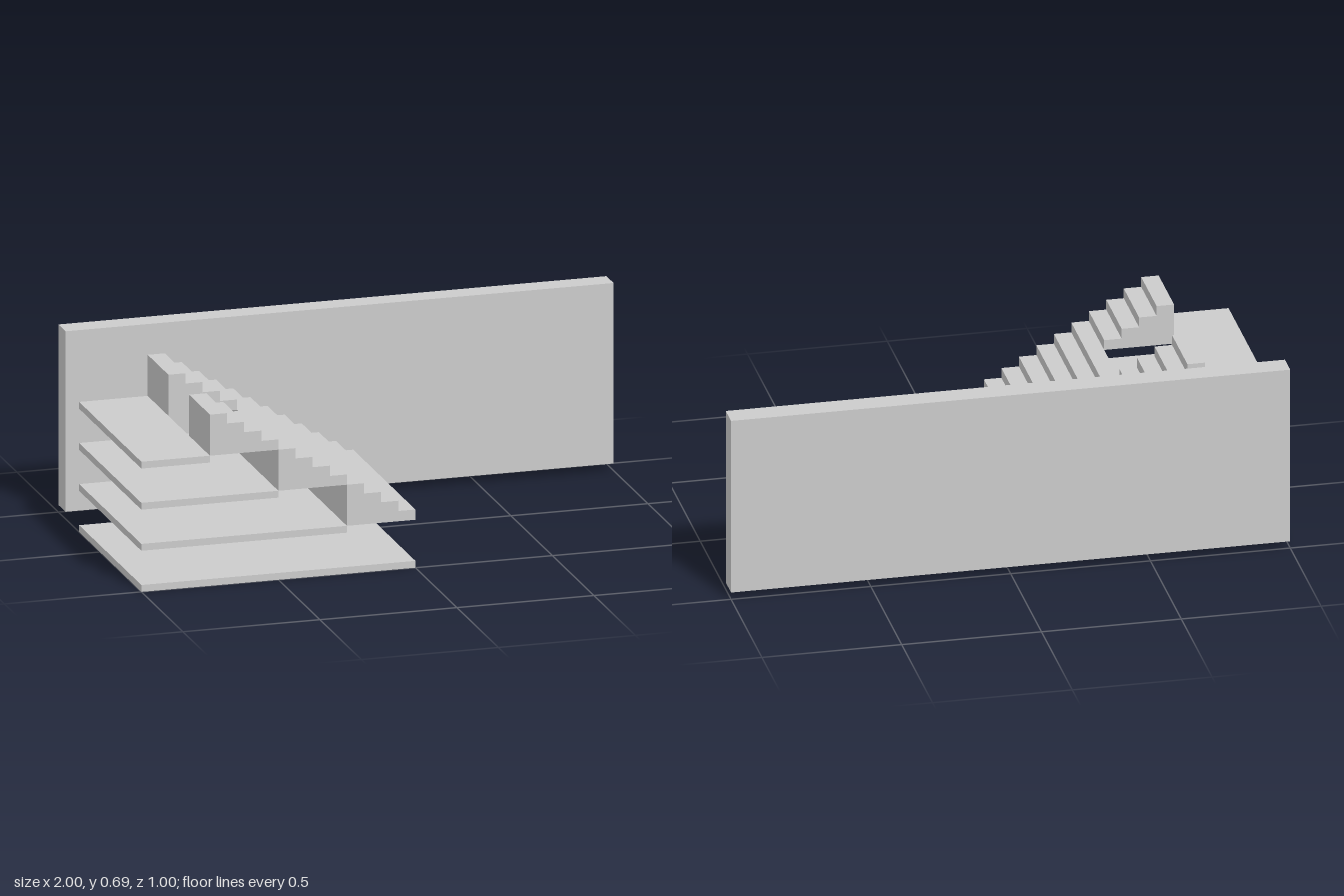
import * as THREE from 'three';
import { mergeGeometries } from 'three/addons/utils/BufferGeometryUtils.js';

const UNIT = 0.25;      // width and depth of one stair block
const STEPS = 4;        // steps per block
const RISE = 0.15;      // height of one storey
const SLAB = 0.025;     // floor thickness

// Hollow stair block, open below: climbs from x = 0 towards -x
function stairGeometry() {
  const run = UNIT / STEPS, rise = RISE / STEPS, parts = [];
  const profile = new THREE.Shape().moveTo(0, 0);
  for (let i = 0; i < STEPS; i++) {
    profile.lineTo(-i * run, (i + 1) * rise);
    profile.lineTo(-(i + 1) * run, (i + 1) * rise);
    // riser and tread
    parts.push(new THREE.PlaneGeometry(UNIT, rise).rotateY(Math.PI / 2)
      .translate(-i * run, (i + 0.5) * rise, 0));
    parts.push(new THREE.PlaneGeometry(run, UNIT).rotateX(-Math.PI / 2)
      .translate(-(i + 0.5) * run, (i + 1) * rise, 0));
  }
  profile.lineTo(-UNIT, 0);
  // side walls and back wall
  parts.push(new THREE.ShapeGeometry(profile).translate(0, 0, UNIT / 2));
  parts.push(new THREE.ShapeGeometry(profile.clone()).scale(-1, 1, 1).rotateY(Math.PI)
    .translate(0, 0, -UNIT / 2));
  parts.push(new THREE.PlaneGeometry(UNIT, RISE).rotateY(-Math.PI / 2)
    .translate(-UNIT, RISE / 2, 0));
  return mergeGeometries(parts);
}

export function createModel() {
  const model = new THREE.Group();
  const grey = new THREE.MeshStandardMaterial({ color: 0xcccccc });
  const thin = new THREE.MeshStandardMaterial({ color: 0xcccccc, side: THREE.DoubleSide });

  const box = (name, x0, x1, y0, y1, z0, z1) => {
    const mesh = new THREE.Mesh(new THREE.BoxGeometry(x1 - x0, y1 - y0, z1 - z0), grey);
    mesh.position.set((x0 + x1) / 2, (y0 + y1) / 2, (z0 + z1) / 2);
    mesh.name = name;
    model.add(mesh);
  };

  // Floors, each one block shorter than the one below
  for (let level = 0; level < 4; level++) {
    const y = level * RISE;
    box('floor' + level, -1, -level * UNIT, y, y + SLAB, -0.25, 0.5);
  }

  // Stair blocks, three abreast, with a stairwell gap in the top flight
  const geometry = stairGeometry();
  for (let level = 1; level < 4; level++) {
    const flight = new THREE.Group();
    flight.name = 'stairFlight' + level;
    for (let row = 0; row < 3; row++) {
      if (level === 3 && row === 1) continue;
      const block = new THREE.Mesh(geometry, thin);
      block.name = 'stairBlock';
      block.position.set(-(level - 1) * UNIT, level * RISE + SLAB, -0.125 + row * UNIT);
      flight.add(block);
    }
    model.add(flight);
  }

  // Long wall behind
  box('backWall', -1, 1, 0.026, 0.685, -0.5, -0.414);
  return model;
}
